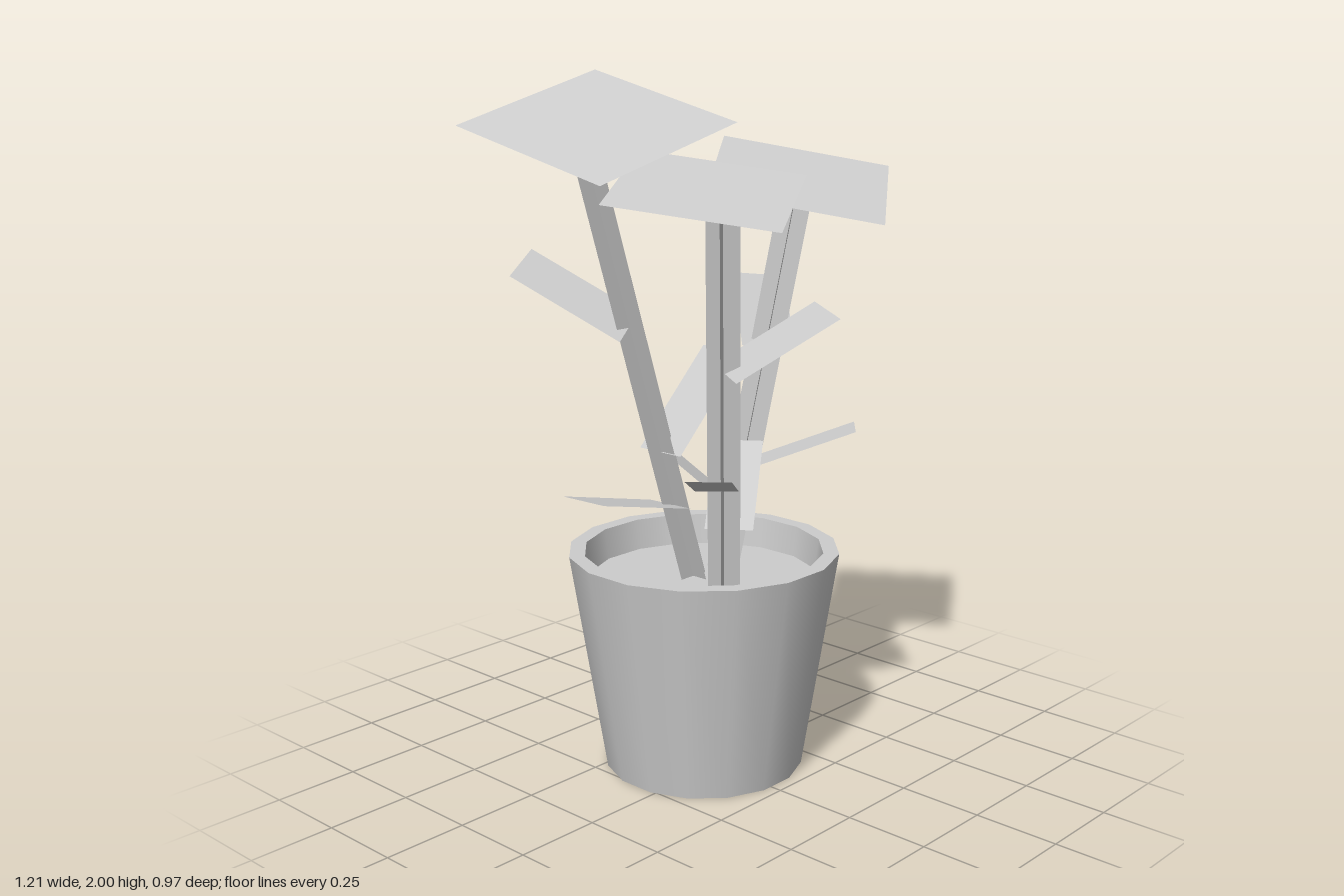
import * as THREE from 'three';

const grey = new THREE.MeshStandardMaterial({ color: 0xcccccc, side: THREE.DoubleSide });
grey.name = 'plain grey';
const V = (p) => new THREE.Vector3(...p);

// Flat four-sided sheet spanned by two edges from one corner
function sheet(name, corner, edgeA, edgeB) {
  const o = V(corner), a = V(edgeA), b = V(edgeB);
  const points = [o, o.clone().add(a), o.clone().add(a).add(b), o.clone().add(b)];
  const geo = new THREE.BufferGeometry().setFromPoints(points);
  geo.setIndex([0, 1, 2, 0, 2, 3]);
  geo.computeVertexNormals();
  const mesh = new THREE.Mesh(geo, grey);
  mesh.name = name;
  return mesh;
}

// Stem made of two crossed strips
function stem(base, top, width, angle) {
  const group = new THREE.Group();
  group.name = 'stem';
  const rise = V(top).sub(V(base));
  for (const turn of [angle, angle - Math.PI / 2]) {
    const across = new THREE.Vector3(Math.cos(turn), 0, -Math.sin(turn)).multiplyScalar(width);
    const corner = V(base).addScaledVector(across, -0.5);
    group.add(sheet('stemStrip', corner.toArray(), rise.toArray(), across.toArray()));
  }
  return group;
}

// Pot: each profile step is its own lathe so the rims stay sharp
function pot() {
  const group = new THREE.Group();
  group.name = 'pot';
  const profile = [[0, 0], [0.29, 0], [0.3925, 0.65], [0.347, 0.65], [0.335, 0.56], [0, 0.56]];
  const names = ['potBottom', 'potWall', 'potRim', 'potInnerWall', 'soil'];
  names.forEach((name, i) => {
    const pts = [profile[i], profile[i + 1]].map(([r, y]) => new THREE.Vector2(r, y));
    const mesh = new THREE.Mesh(new THREE.LatheGeometry(pts, 16, Math.PI / 16), grey);
    mesh.name = name;
    group.add(mesh);
  });
  group.position.set(0.025, 0, -0.07);
  return group;
}

// Leaves are [corner, length edge, width edge]
const plants = [
  {
    name: 'frontPlant', base: [-0.03, 0.54, 0.06], top: [-0.197, 1.7, 0.205], width: 0.092, angle: 0.56,
    crown: [[-0.295, 1.635, 0.487], [0.38, 0.1, -0.237], [-0.25, 0.06, -0.374]],
    leaves: [
      [[-0.16, 1.205, 0.22], [0.17, 0.175, 0.21], [0.07, 0.022, -0.145]],
      [[-0.15, 0.88, 0.06], [-0.24, 0.11, 0.19], [0.08, 0, 0.09]],
      [[-0.09, 0.755, 0.04], [0.19, 0.2, -0.13], [0.08, 0, 0.11]],
    ],
  },
  {
    name: 'leftPlant', base: [0.135, 0.54, -0.1], top: [0.285, 1.695, 0.055], width: 0.093, angle: 0.63,
    crown: [[-0.067, 1.685, 0.025], [0.365, 0.12, -0.265], [0.305, -0.085, 0.37]],
    leaves: [
      [[0.15, 1.232, -0.035], [0.183, 0.17, -0.2], [0.163, -0.022, 0.06]],
      [[0.14, 0.88, 0.01], [0.19, 0.11, 0.23], [0.1, 0, -0.085]],
      [[0.11, 0.755, -0.04], [-0.15, 0.2, -0.18], [0.09, 0, -0.08]],
    ],
  },
  {
    name: 'backPlant', base: [0.02, 0.54, -0.1], top: [-0.362, 1.867, -0.15], width: 0.1, angle: 0,
    crown: [[-0.61, 1.87, -0.345], [0.495, 0.13, 0], [0.035, -0.125, 0.495]],
    leaves: [
      [[-0.287, 1.295, -0.085], [-0.118, 0.16, -0.305], [0.165, 0.05, -0.095]],
      [[-0.1, 0.95, -0.2], [0.265, 0.26, 0], [0, 0, 0.158]],
      [[-0.06, 0.787, -0.2], [-0.385, 0.1, 0.05], [0.005, 0.002, 0.155]],
    ],
  },
];

export function createModel() {
  const model = new THREE.Group();
  model.name = 'pottedPlant';
  model.add(pot());
  for (const p of plants) {
    const plant = new THREE.Group();
    plant.name = p.name;
    plant.add(stem(p.base, p.top, p.width, p.angle), sheet('topLeaf', ...p.crown));
    for (const leaf of p.leaves) plant.add(sheet('sideLeaf', ...leaf));
    model.add(plant);
  }
  return model;
}
